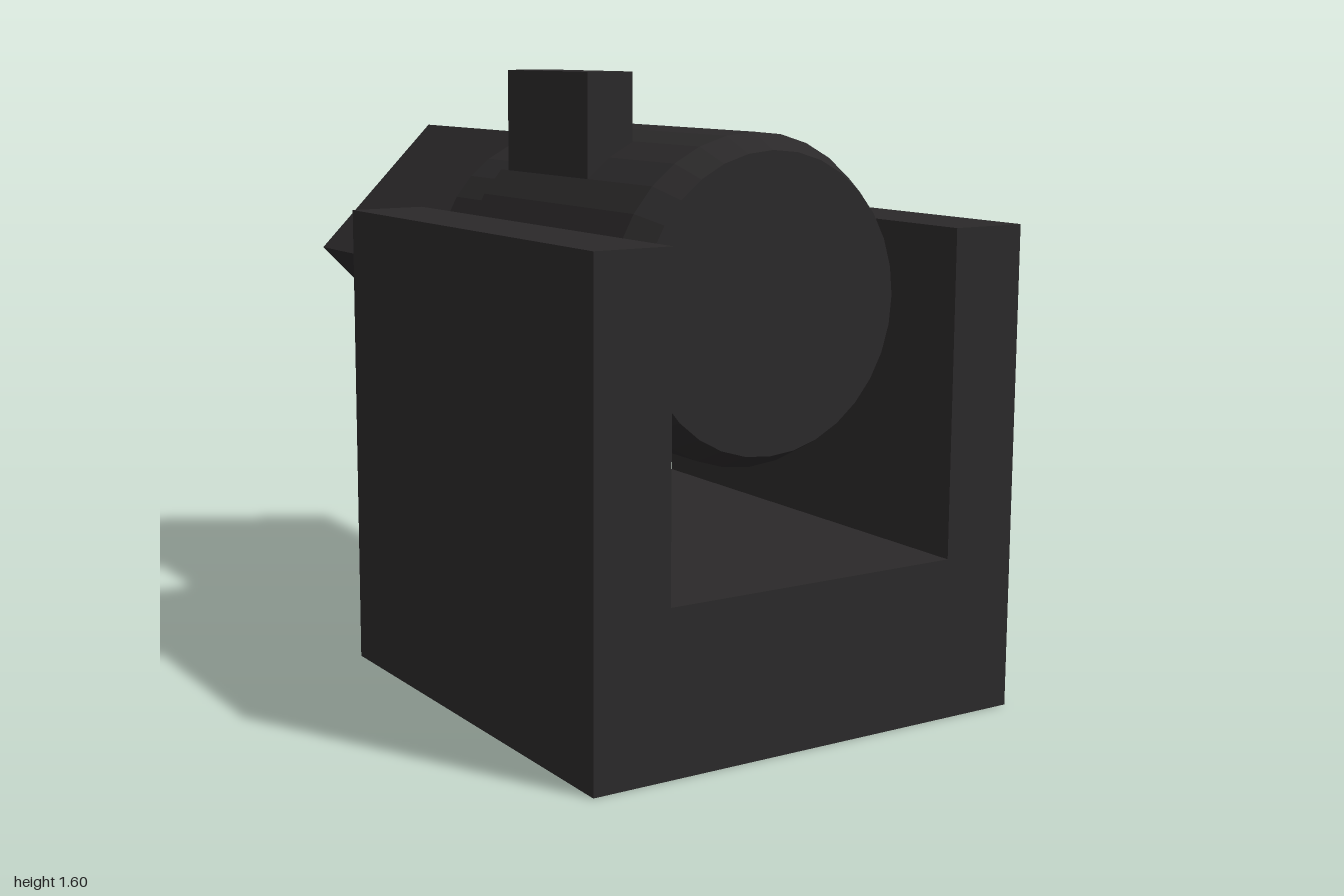
import * as THREE from 'three';

const DARK = new THREE.MeshStandardMaterial({ color: 0x2b292a, flatShading: true });
const RED = new THREE.MeshStandardMaterial({ color: 0xc81e0a, flatShading: true });
const AXIS_Y = 1.05;   // height of the barrel axis

function add(parent, name, geometry, material, x = 0, y = 0, z = 0) {
  const mesh = new THREE.Mesh(geometry, material);
  mesh.name = name;
  mesh.position.set(x, y, z);
  parent.add(mesh);
  return mesh;
}

function polygon(points, Type = THREE.Shape) {
  return new Type(points.map(([x, y]) => new THREE.Vector2(x, y)));
}

function square(cx, cy, size, Type) {
  const h = size / 2;
  return polygon([[cx - h, cy - h], [cx + h, cy - h], [cx + h, cy + h], [cx - h, cy + h]], Type);
}

export function createModel() {
  const model = new THREE.Group();
  model.name = 'cradledBarrel';

  // U-shaped cradle
  const profile = polygon([
    [-0.615, 0], [0.615, 0], [0.615, 1.23], [0.41, 1.23],
    [0.41, 0.41], [-0.41, 0.41], [-0.41, 1.23], [-0.615, 1.23],
  ]);
  add(model, 'cradle',
    new THREE.ExtrudeGeometry(profile, { depth: 1.23, bevelEnabled: false }),
    DARK, 0, 0, -0.23);

  // Barrel with chamfered front and narrower rear neck
  const outline = [
    [0, -0.23], [0.365, -0.23], [0.365, 0], [0.41, 0],
    [0.41, 0.73], [0.37, 0.81], [0, 0.81],
  ].map(([r, z]) => new THREE.Vector2(r, z));
  const barrel = new THREE.LatheGeometry(outline, 32).rotateX(Math.PI / 2);
  add(model, 'barrel', barrel, DARK, 0, AXIS_Y, 0);

  // Square rear block standing on its corner, with four sockets in its end
  const block = new THREE.Group();
  block.name = 'rearBlock';
  block.position.y = AXIS_Y;
  block.rotation.z = Math.PI / 4;
  model.add(block);
  const side = 0.365 * Math.SQRT2;
  const depth = 0.05;
  add(block, 'blockBody', new THREE.BoxGeometry(side, side, 0.77 - depth),
    DARK, 0, 0, -0.23 - (0.77 - depth) / 2);
  const plate = square(0, 0, side);
  for (const sx of [-1, 1]) {
    for (const sy of [-1, 1]) {
      plate.holes.push(square(sx * side / 4, sy * side / 4, 0.125, THREE.Path));
    }
  }
  add(block, 'socketPlate',
    new THREE.ExtrudeGeometry(plate, { depth, bevelEnabled: false }), DARK, 0, 0, -1);

  // Upright fin with a red window facing the rear
  add(model, 'sightFin', new THREE.BoxGeometry(0.13, 0.3, 0.4), DARK, -0.225, 1.45, 0.24);
  add(model, 'redWindow', new THREE.BoxGeometry(0.07, 0.125, 0.01), RED, -0.225, 1.505, 0.042);

  return model;
}
